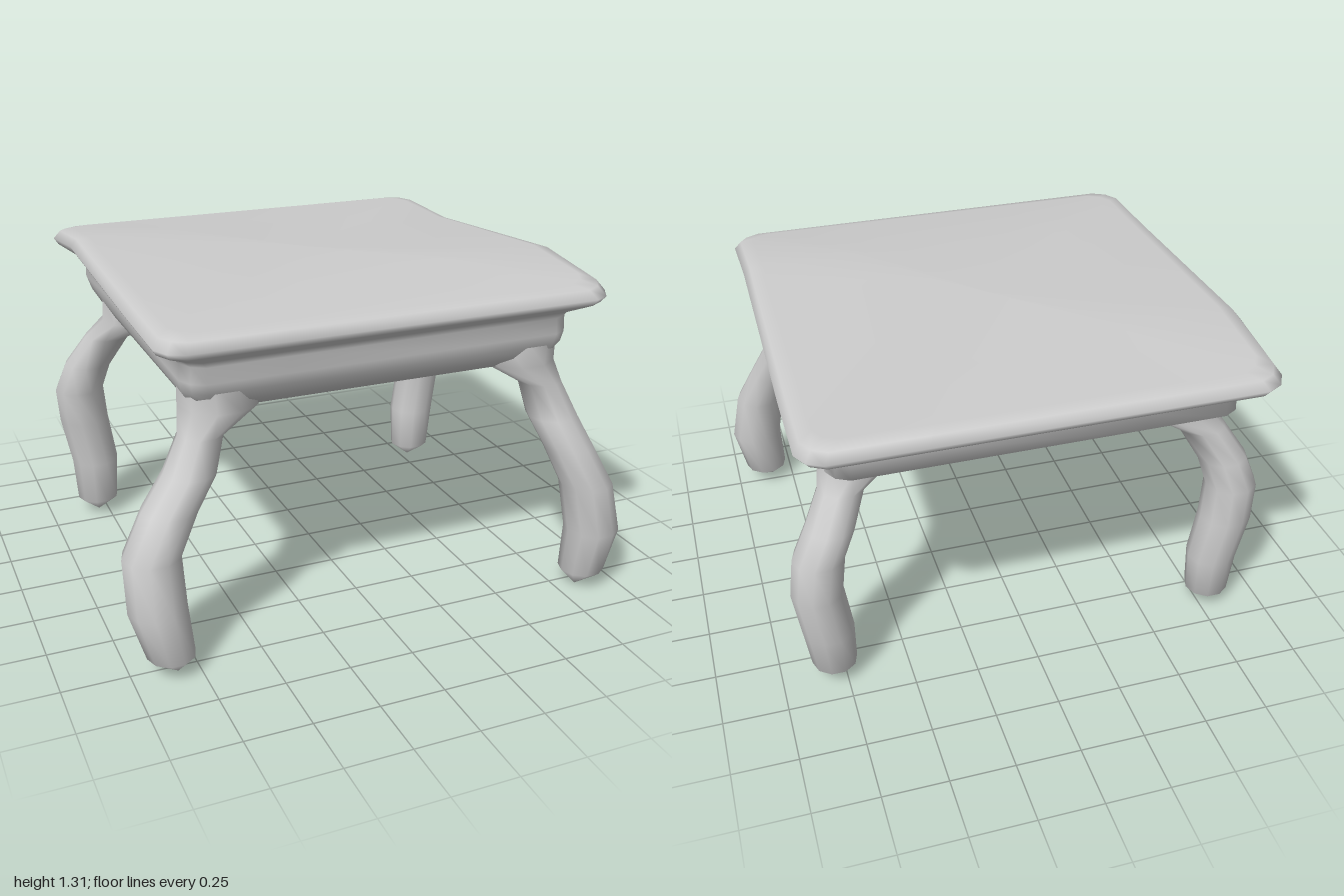
import * as THREE from 'three';

const material = new THREE.MeshStandardMaterial({ color: 0xcccccc });

// Skin closed rings of [x, y, z] points, listed from top to bottom
function loft(name, rings) {
  const n = rings[0].length, index = [];
  for (let i = 0; i < rings.length - 1; i++) {
    for (let j = 0; j < n; j++) {
      const k = (j + 1) % n;
      const a = i * n + j, b = i * n + k, c = a + n, d = b + n;
      index.push(a, b, c, b, d, c);
    }
  }
  const geometry = new THREE.BufferGeometry();
  geometry.setAttribute('position', new THREE.Float32BufferAttribute(rings.flat(2), 3));
  geometry.setIndex(index);
  geometry.computeVertexNormals();
  const mesh = new THREE.Mesh(geometry, material);
  mesh.name = name;
  return mesh;
}

// Unit square with clipped corners, one quarter turned four times
const square = [];
for (let q = 0; q < 4; q++) {
  for (let [x, z] of [[1, 0.5], [1, 0.9], [0.965, 0.965], [0.9, 1], [0.5, 1]]) {
    for (let t = 0; t < q; t++) [x, z] = [-z, x];
    square.push([x, z]);
  }
}

// Linear interpolation through [position, value] stops
function ramp(stops, v) {
  for (let i = 1; i < stops.length; i++) {
    const [a, fa] = stops[i - 1], [b, fb] = stops[i];
    if (v <= b) return THREE.MathUtils.mapLinear(Math.max(v, a), a, b, fa, fb);
  }
  return stops[stops.length - 1][1];
}

// Uneven warp of the top: one side swells near the front, the other near the back
function warp(x, y, z) {
  const leftSide = ramp([[-0.85, 0], [-0.48, -0.015], [0.42, 0.055], [0.8, 0]], z);
  const rightSide = ramp([[-0.85, 0], [-0.48, 0.05], [0.42, 0.01], [0.8, 0]], z);
  const side = THREE.MathUtils.clamp((x + 0.86) / 1.75, 0, 1);
  const weight = THREE.MathUtils.clamp((y - 1) / 0.17, 0, 1);
  return y + weight * THREE.MathUtils.lerp(rightSide, leftSide, side);
}

// Height, half width, then the back and front limits in z
function bodyRing([y, half, back, front]) {
  return square.map(([u, v]) => {
    const x = 0.015 + u * half;
    const z = (front + back) / 2 + v * (front - back) / 2;
    return [x, warp(x, y, z), z];
  });
}

// Leg ring: height, centre x, centre z, radius
function legRing([y, x, z, r]) {
  return Array.from({ length: 10 }, (_, i) => {
    const a = (i / 10) * Math.PI * 2;
    return [x + r * Math.cos(a), y, z + r * Math.sin(a)];
  });
}

export function createModel() {
  const group = new THREE.Group();
  group.name = 'table';

  // Cushioned top and apron in one soft shell
  const profile = [
    [1.26, 0, -0.035, -0.035],
    [1.26, 0.45, -0.485, 0.415],
    [1.26, 0.8, -0.835, 0.765],
    [1.248, 0.85, -0.885, 0.815],
    [1.215, 0.875, -0.91, 0.84],
    [1.19, 0.86, -0.895, 0.825],
    [1.145, 0.785, -0.825, 0.75],
    [1.12, 0.762, -0.8, 0.735],
    [1.06, 0.765, -0.8, 0.735],
    [1.02, 0.757, -0.73, 0.725],
    [0.975, 0.73, -0.65, 0.7],
    [0.935, 0.68, -0.58, 0.65],
    [0.93, 0.4, -0.4, 0.4],
    [0.93, 0, 0, 0],
  ];
  group.add(loft('tableTop', profile.map(bodyRing)));

  // Bowed legs, each with a wide root under the apron and a pointed foot
  const legs = {
    frontLeftLeg: [
      [1.04, 0.63, 0.59, 0.14], [0.94, 0.62, 0.585, 0.15], [0.85, 0.705, 0.64, 0.085],
      [0.72, 0.74, 0.69, 0.1], [0.6, 0.79, 0.745, 0.1], [0.45, 0.855, 0.79, 0.105],
      [0.25, 0.89, 0.805, 0.108], [0.07, 0.865, 0.795, 0.09], [0, 0.84, 0.8, 0],
    ],
    frontRightLeg: [
      [1.04, -0.6, 0.59, 0.14], [0.94, -0.59, 0.585, 0.15], [0.85, -0.675, 0.64, 0.085],
      [0.72, -0.725, 0.66, 0.1], [0.6, -0.81, 0.685, 0.105], [0.45, -0.89, 0.715, 0.108],
      [0.25, -0.885, 0.745, 0.11], [0.07, -0.85, 0.77, 0.09], [0, -0.83, 0.78, 0],
    ],
    backLeftLeg: [
      [1.04, 0.63, -0.47, 0.14], [0.94, 0.62, -0.46, 0.15], [0.85, 0.7, -0.53, 0.09],
      [0.72, 0.76, -0.585, 0.097], [0.6, 0.815, -0.605, 0.1], [0.45, 0.835, -0.62, 0.1],
      [0.25, 0.805, -0.615, 0.1], [0.07, 0.79, -0.6, 0.088], [0, 0.79, -0.61, 0],
    ],
    backRightLeg: [
      [1.04, -0.6, -0.47, 0.14], [0.94, -0.6, -0.46, 0.15], [0.85, -0.72, -0.53, 0.095],
      [0.72, -0.8, -0.575, 0.1], [0.6, -0.84, -0.6, 0.104], [0.45, -0.825, -0.615, 0.105],
      [0.25, -0.79, -0.61, 0.1], [0.07, -0.79, -0.6, 0.088], [0, -0.79, -0.6, 0],
    ],
  };
  for (const [name, rings] of Object.entries(legs)) {
    group.add(loft(name, rings.map(legRing)));
  }
  return group;
}
